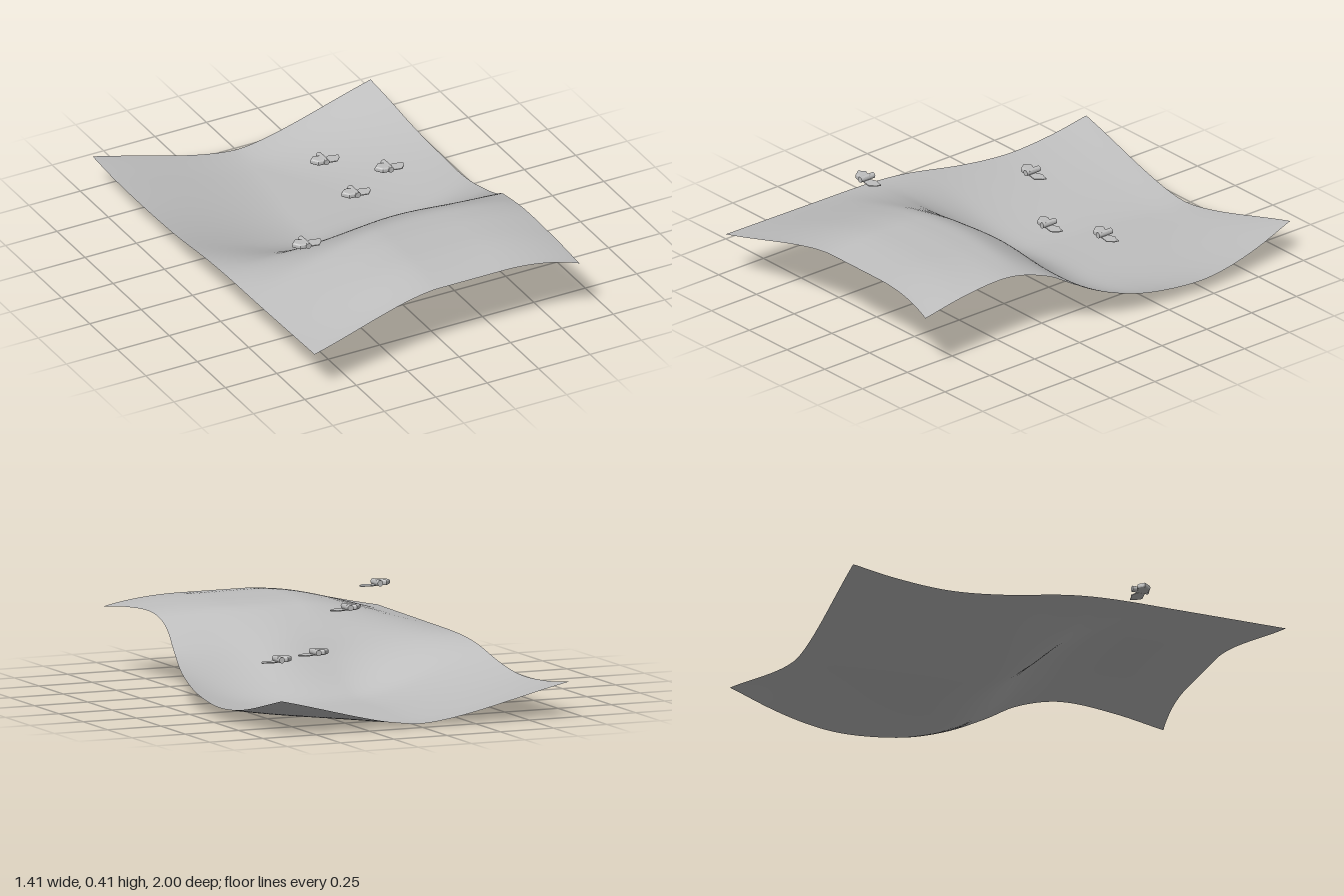
import * as THREE from 'three';

// smooth curve through [position, value] pairs
function curve(pts) {
  const slope = i => {
    const a = pts[Math.max(i - 1, 0)], b = pts[Math.min(i + 1, pts.length - 1)];
    return (b[1] - a[1]) / (b[0] - a[0]);
  };
  return t => {
    let i = 0;
    while (i < pts.length - 2 && t > pts[i + 1][0]) i++;
    const [x0, y0] = pts[i], [x1, y1] = pts[i + 1];
    const h = x1 - x0, s = THREE.MathUtils.clamp((t - x0) / h, 0, 1);
    const s2 = s * s, s3 = s2 * s;
    return y0 * (2 * s3 - 3 * s2 + 1) + y1 * (3 * s2 - 2 * s3)
      + h * (slope(i) * (s3 - 2 * s2 + s) + slope(i + 1) * (s3 - s2));
  };
}

// outlines of the sheet from back to front
const leftX = curve([[-1, -0.69], [-0.6, -0.675], [-0.4, -0.68], [0, -0.705], [0.4, -0.708], [1, -0.703]]);
const rightX = curve([[-1, 0.662], [-0.8, 0.687], [-0.5, 0.705], [-0.3, 0.695], [0, 0.668],
  [0.2, 0.625], [0.4, 0.585], [0.6, 0.578], [1, 0.596]]);

// heights along the left edge, the middle and the right edge
const leftY = curve([[-1, 0.155], [-0.8, 0.13], [-0.55, 0.12], [-0.3, 0.14], [0, 0.185], [0.2, 0.2], [0.5, 0.204], [1, 0.21]]);
const midY = curve([[-0.97, 0.012], [-0.8, 0.002], [-0.5, 0.001], [-0.2, 0.003], [-0.1, 0.018], [0, 0.065], [0.1, 0.14],
  [0.2, 0.23], [0.3, 0.295], [0.4, 0.34], [0.5, 0.353], [0.6, 0.356], [0.75, 0.353], [0.945, 0.33]]);
const rightY = curve([[-1, 0.155], [-0.7, 0.08], [-0.47, 0.055], [-0.2, 0.075], [0, 0.13],
  [0.17, 0.205], [0.3, 0.275], [0.5, 0.323], [0.75, 0.315], [0.98, 0.285]]);

function sheetGeometry() {
  const g = new THREE.PlaneGeometry(2, 2, 60, 90).rotateX(-Math.PI / 2);
  const p = g.attributes.position;
  const { lerp, smoothstep } = THREE.MathUtils;
  for (let i = 0; i < p.count; i++) {
    const u = (p.getX(i) + 1) / 2, t = p.getZ(i);
    const l = leftX(t), r = rightX(t), x = l + u * (r - l);
    // blend from the flat middle to each edge; the flat part narrows toward the back
    const back = smoothstep(-t, 0.3, 1);
    const startL = lerp(-0.07, 0, back), startR = lerp(0.24, 0, back);
    const dl = Math.max(0, (startL - x) / (startL - l));
    const dr = Math.max(0, (x - startR) / (r - startR));
    const wl = Math.pow(dl, 1.7) * (1.7 - 0.7 * dl);
    const wr = lerp(Math.pow(dr, 2.1), Math.pow(dr, 1.6) * (1.6 - 0.6 * dr), back);
    const z = t > 0 ? t * (0.945 + 0.055 * wl + 0.035 * wr) : t * (0.97 + 0.03 * (wl + wr));
    // the crest bows slightly backward near the centre
    const bow = 0.035 * (1 - t * t) * Math.exp(-(((x - 0.12) / 0.22) ** 2));
    const m = midY(z + bow);
    p.setXYZ(i, x, m + (leftY(z) - m) * wl + (rightY(z) - m) * wr, z);
  }
  g.computeVertexNormals();
  return g;
}

// flat outline in x and z, extruded upward, with optional rounded rims
function slab(points, height, round = 0) {
  const shape = new THREE.Shape(points.map(([x, z]) => new THREE.Vector2(x, -z)));
  return new THREE.ExtrudeGeometry(shape, {
    depth: height - 2 * round, bevelEnabled: round > 0, bevelSize: round,
    bevelThickness: round, bevelOffset: -round, bevelSegments: 3,
  }).rotateX(-Math.PI / 2).translate(0, round, 0);
}

export function createModel() {
  const model = new THREE.Group();
  const grey = new THREE.MeshStandardMaterial({ color: 0xbfbfbf, side: THREE.DoubleSide });
  grey.name = 'light grey';
  const add = (parent, name, geometry, x = 0, y = 0, z = 0) => {
    const mesh = new THREE.Mesh(geometry, grey);
    mesh.name = name;
    mesh.position.set(x, y, z);
    parent.add(mesh);
  };

  add(model, 'curvedSheet', sheetGeometry());

  // small floating markers
  const body = slab([[-0.073, -0.005], [-0.045, -0.03], [-0.025, -0.02], [0, -0.02], [0, 0.02], [-0.02, 0.032], [-0.05, 0.028]], 0.024, 0.008);
  const bar = new THREE.CylinderGeometry(0.013, 0.013, 0.075, 16).rotateX(Math.PI / 2);
  const tail = slab([[-0.01, -0.012], [0.03, -0.028], [0.045, -0.02], [0.07, -0.015], [0.065, 0.005], [0.042, 0.03], [-0.01, 0.02]], 0.004);
  const spots = [[-0.43, 0.387, 0.437], [-0.024, 0.387, -0.145], [0.114, 0.198, -0.12], [0.342, 0.198, -0.24]];
  for (const [x, y, z] of spots) {
    const marker = new THREE.Group();
    marker.name = 'floatingMarker';
    marker.position.set(x, y, z);
    add(marker, 'markerBody', body, 0, 0.001, 0);
    add(marker, 'markerBar', bar, -0.012, 0.013, -0.003);
    add(marker, 'markerTail', tail);
    model.add(marker);
  }
  return model;
}
